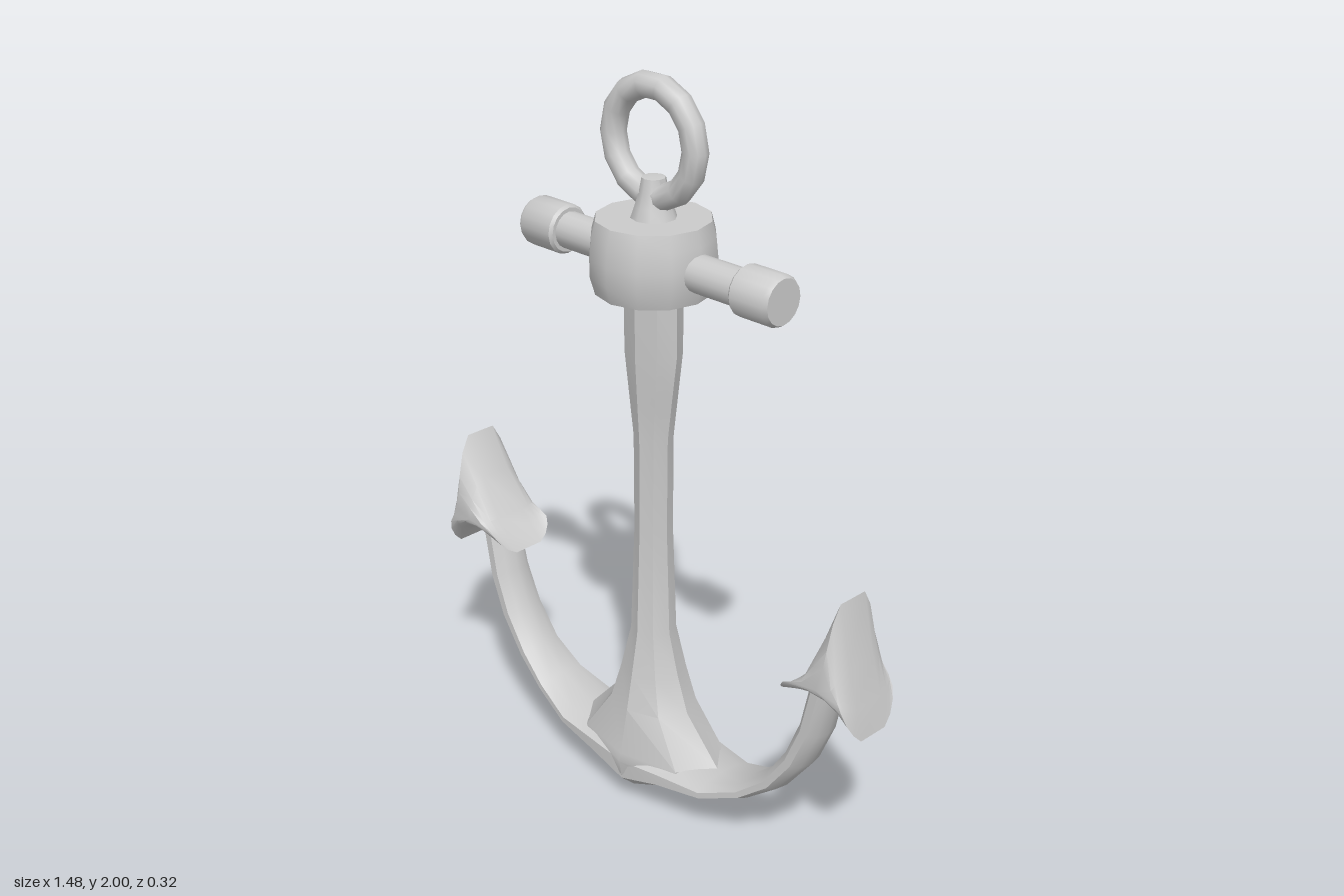
import * as THREE from 'three';
import { toCreasedNormals } from 'three/addons/utils/BufferGeometryUtils.js';

const material = new THREE.MeshStandardMaterial({ color: 0xcccccc });

function add(parent, name, geometry, crease = 0.7) {
  const mesh = new THREE.Mesh(toCreasedNormals(geometry, crease), material);
  mesh.name = name;
  parent.add(mesh);
  return mesh;
}

// Closed skin over a row of rings (equal numbers of Vector3), ends fanned shut
function loft(rings) {
  const n = rings[0].length, last = rings.length - 1;
  const pts = rings.flat();
  const faces = [];
  for (let i = 0; i < last; i++) {
    for (let j = 0; j < n; j++) {
      const a = i * n + j, b = i * n + (j + 1) % n;
      faces.push([a, b, b + n], [a, b + n, a + n]);
    }
  }
  [0, last].forEach((r) => {
    const c = pts.length;
    const mid = new THREE.Vector3();
    rings[r].forEach((p) => mid.addScaledVector(p, 1 / n));
    pts.push(mid);
    for (let j = 0; j < n; j++) {
      const a = r * n + j, b = r * n + (j + 1) % n;
      faces.push(r === 0 ? [b, a, c] : [a, b, c]);
    }
  });
  // Turn the faces outward if the enclosed volume is negative
  let volume = 0;
  const cross = new THREE.Vector3();
  faces.forEach(([a, b, c]) => { volume += pts[a].dot(cross.crossVectors(pts[b], pts[c])); });
  if (volume < 0) faces.forEach((f) => f.reverse());
  const geometry = new THREE.BufferGeometry().setFromPoints(pts);
  geometry.setIndex(faces.flat());
  return geometry;
}

// Elliptical ring spanned by two half-axis vectors
function ellipse(center, u, v, sides) {
  return Array.from({ length: sides }, (_, i) => {
    const a = (i / sides) * Math.PI * 2;
    return center.clone().addScaledVector(u, Math.cos(a)).addScaledVector(v, Math.sin(a));
  });
}

// Shank flaring into the pointed crown: [y, half width, half depth]
function shankGeometry() {
  const rows = [
    [0, 0.006, 0.006], [0.045, 0.08, 0.075], [0.085, 0.15, 0.125], [0.13, 0.23, 0.132],
    [0.155, 0.24, 0.127], [0.28, 0.125, 0.102], [0.38, 0.09, 0.083], [0.5, 0.058, 0.062],
    [0.8, 0.048, 0.052], [1.06, 0.05, 0.052], [1.17, 0.064, 0.059], [1.29, 0.08, 0.066],
    [1.5, 0.081, 0.067],
  ];
  return loft(rows.map(([y, w, d]) => ellipse(
    new THREE.Vector3(0, y, 0), new THREE.Vector3(w, 0, 0), new THREE.Vector3(0, 0, d), 8)));
}

// Curved arms, one sweep through the crown: [x, y, half thickness, half depth]
function armsGeometry() {
  const half = [
    [0.125, 0.125, 0.05, 0.125], [0.26, 0.13, 0.026, 0.103], [0.375, 0.178, 0.025, 0.08],
    [0.46, 0.245, 0.029, 0.068], [0.53, 0.343, 0.034, 0.064], [0.575, 0.45, 0.036, 0.061],
    [0.608, 0.6, 0.036, 0.057],
  ];
  const rows = [
    ...half.map(([x, ...rest]) => [-x, ...rest]).reverse(),
    [0, 0.1, 0.085, 0.13],
    ...half,
  ];
  return loft(rows.map(([x, y, t, d], i) => {
    const a = rows[Math.max(i - 1, 0)], b = rows[Math.min(i + 1, rows.length - 1)];
    const normal = new THREE.Vector3(a[1] - b[1], b[0] - a[0], 0).normalize();
    return ellipse(new THREE.Vector3(x, y, 0), normal.multiplyScalar(t), new THREE.Vector3(0, 0, d), 10);
  }));
}

// Arrow-shaped fluke: profile slices along z, shrinking towards the rounded sides
function flukeGeometry(side, tipX) {
  const profile = [
    [tipX, 0.845], [(tipX + 0.72) / 2 + 0.005, 0.68], [0.725, 0.58], [0.742, 0.497],
    [0.705, 0.545], [0.66, 0.575], [0.6, 0.582], [0.55, 0.565], [0.5, 0.545],
    [0.535, 0.585], [0.575, 0.625], [(tipX + 0.575) / 2, 0.735],
  ];
  // [z, x scale, upper y scale, lower y scale]
  const slices = [
    [0.097, 0.78, 0.3, 0.3], [0.088, 0.88, 0.5, 0.55], [0.07, 0.96, 0.8, 0.8], [0.045, 1, 1, 1],
  ];
  const rows = [
    ...slices.map(([z, ...s]) => [-z, ...s]),
    ...slices.reverse(),
  ];
  return loft(rows.map(([z, sx, up, down]) => profile.map(([x, y]) => new THREE.Vector3(
    side * (0.64 + (x - 0.64) * sx),
    0.62 + (y - 0.62) * (y > 0.62 ? up : down),
    z - 0.007))));
}

export function createModel() {
  const anchor = new THREE.Group();
  anchor.name = 'anchor';

  add(anchor, 'shank', shankGeometry(), 0.6);
  add(anchor, 'arms', armsGeometry(), 0.8);
  add(anchor, 'leftFluke', flukeGeometry(1, 0.66));
  add(anchor, 'rightFluke', flukeGeometry(-1, 0.69));

  // Barrel-shaped hub around the top of the shank
  const hubProfile = [[0, 1.455], [0.148, 1.455], [0.161, 1.5], [0.162, 1.55], [0.157, 1.6], [0.146, 1.642], [0, 1.642]]
    .map(([r, y]) => new THREE.Vector2(r, y));
  add(anchor, 'hub', new THREE.LatheGeometry(hubProfile, 12));

  // Stock crossbar with a collar on each end
  const bar = add(anchor, 'stock', new THREE.CylinderGeometry(0.048, 0.048, 0.8, 16));
  bar.rotation.z = Math.PI / 2;
  bar.position.y = 1.535;
  const collarProfile = [[0, 0.3], [0.058, 0.3], [0.065, 0.308], [0.065, 0.41], [0.058, 0.422], [0, 0.422]]
    .map(([r, y]) => new THREE.Vector2(r, y));
  for (const side of [1, -1]) {
    const collar = add(anchor, side > 0 ? 'leftCollar' : 'rightCollar', new THREE.LatheGeometry(collarProfile, 16));
    collar.rotation.z = -side * Math.PI / 2;
    collar.position.y = 1.535;
  }

  // Lug holding the ring
  const lugProfile = [[0.062, 1.63], [0.048, 1.67], [0.036, 1.71], [0.03, 1.742], [0, 1.745]]
    .map(([r, y]) => new THREE.Vector2(r, y));
  add(anchor, 'lug', new THREE.LatheGeometry(lugProfile, 10));

  const ring = add(anchor, 'ring', new THREE.TorusGeometry(0.137, 0.033, 10, 14), 0.9);
  ring.position.y = 1.83;

  return anchor;
}
